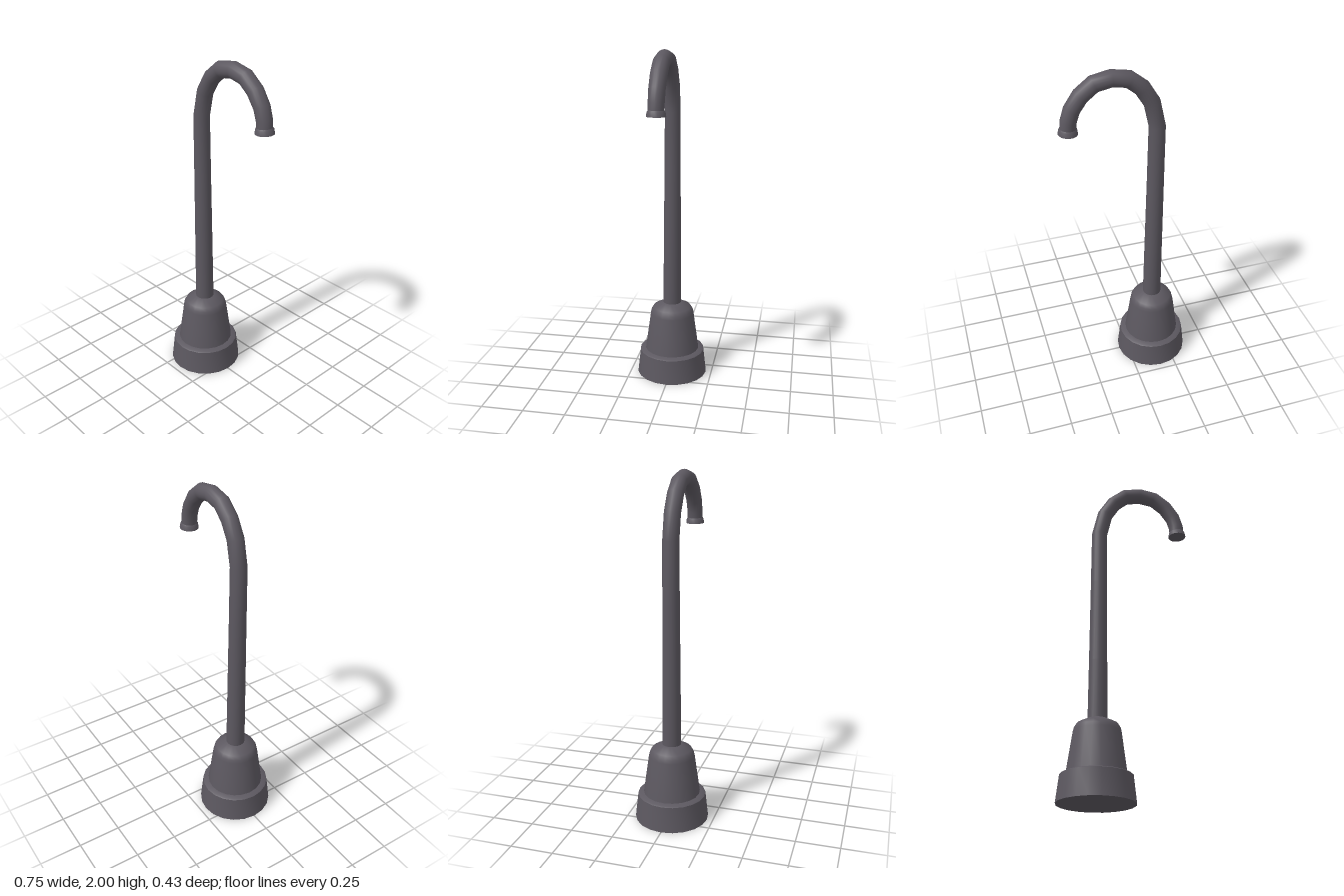
import * as THREE from 'three';
import { toCreasedNormals } from 'three/addons/utils/BufferGeometryUtils.js';

const SIDES = 20;
const material = new THREE.MeshStandardMaterial({ color: 0x5c5860 });

// Turned part from [radius, height] pairs, bottom to top
function turned(name, profile, crease) {
  const points = profile.map(([r, y]) => new THREE.Vector2(r, y));
  const mesh = new THREE.Mesh(toCreasedNormals(new THREE.LatheGeometry(points, SIDES), crease), material);
  mesh.name = name;
  return mesh;
}

// Round pipe along [x, y, radius] stations in the z = 0 plane
function pipe(name, stations) {
  const position = [], index = [];
  stations.forEach(([x, y, r], i) => {
    const a = stations[Math.max(i - 1, 0)];
    const b = stations[Math.min(i + 1, stations.length - 1)];
    const t = new THREE.Vector2(b[0] - a[0], b[1] - a[1]).normalize();
    for (let j = 0; j < SIDES; j++) {
      const angle = (j / SIDES) * Math.PI * 2;
      const c = Math.cos(angle) * r;
      position.push(x + t.y * c, y - t.x * c, Math.sin(angle) * r);
      if (i === stations.length - 1) continue;
      const p = i * SIDES + j, q = i * SIDES + ((j + 1) % SIDES);
      index.push(p, p + SIDES, q, q, p + SIDES, q + SIDES);
    }
  });
  const geometry = new THREE.BufferGeometry();
  geometry.setAttribute('position', new THREE.Float32BufferAttribute(position, 3));
  geometry.setIndex(index);
  geometry.computeVertexNormals();
  const mesh = new THREE.Mesh(geometry, material);
  mesh.name = name;
  return mesh;
}

export function createModel() {
  const model = new THREE.Group();
  model.name = 'gooseneckPost';

  // Stepped, tapering base with a rounded shoulder
  const base = turned('base', [
    [0, 0], [0.215, 0], [0.198, 0.15], [0.19, 0.155], [0.165, 0.16],
    [0.133, 0.39], [0.128, 0.41], [0.115, 0.432], [0.055, 0.462], [0, 0.462],
  ], 0.8);
  base.position.x = -0.16;
  model.add(base);

  // Straight post bending over into the hook
  model.add(pipe('neck', [
    [-0.16, 0.42, 0.055], [-0.162, 0.8, 0.052], [-0.165, 1.3, 0.048], [-0.167, 1.64, 0.046],
    [-0.135, 1.786, 0.046], [-0.079, 1.878, 0.046], [-0.008, 1.937, 0.046], [0.085, 1.954, 0.046],
    [0.175, 1.937, 0.046], [0.246, 1.881, 0.046], [0.294, 1.81, 0.045], [0.314, 1.746, 0.044],
    [0.318, 1.69, 0.044],
  ]));

  // Flared collar closing the downturned end
  const nozzle = turned('nozzle', [
    [0, 0], [0.053, 0], [0.049, 0.025], [0.043, 0.034], [0, 0.034],
  ], 0.7);
  nozzle.position.set(0.319, 1.676, 0);
  nozzle.rotation.z = 0.05;
  model.add(nozzle);

  return model;
}
